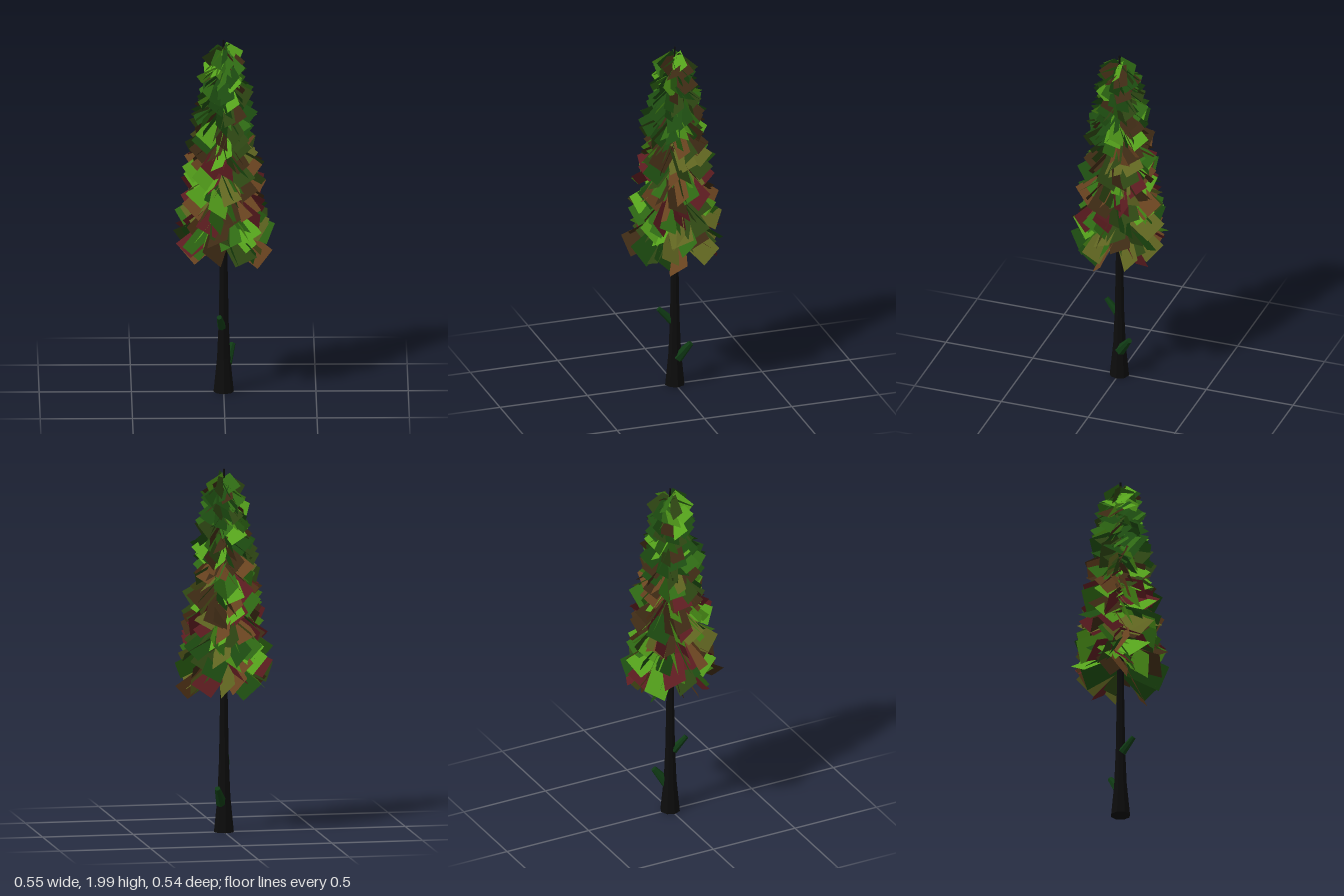
import * as THREE from 'three';
import { mergeGeometries } from 'three/addons/utils/BufferGeometryUtils.js';

const PALETTE = [0x2f6a14, 0x56a41c, 0x5f6420, 0x3d2a14, 0x5c1c20, 0x6a4420, 0x1c4a10, 0x2c4412];
const UPPER_PALETTE = [0, 6, 7, 3, 6, 1];

// Small seeded generator so the foliage is always the same
function seeded(seed) {
  let s = seed;
  return () => {
    s = (s * 16807) % 2147483647;
    return s / 2147483647;
  };
}

function mesh(name, geometry, color, options = {}) {
  const m = new THREE.Mesh(geometry, new THREE.MeshStandardMaterial({ color, ...options }));
  m.name = name;
  return m;
}

// Tapered stub between two points
function stub(name, from, to, r0, r1, color) {
  const a = new THREE.Vector3(...from);
  const d = new THREE.Vector3(...to).sub(a);
  const geo = new THREE.CylinderGeometry(r1, r0, d.length(), 7);
  geo.translate(0, d.length() / 2, 0);
  const m = mesh(name, geo, color, { flatShading: true });
  m.position.copy(a);
  m.quaternion.setFromUnitVectors(new THREE.Vector3(0, 1, 0), d.normalize());
  return m;
}

// One rectangular leaf card: grows out from the axis, droops and rolls
function leafCard(y, angle, length, width, droop, roll) {
  const geo = new THREE.PlaneGeometry(length, width);
  geo.rotateX(-Math.PI / 2);
  geo.translate(length / 2, 0, 0);
  const turn = new THREE.Matrix4().makeRotationFromEuler(new THREE.Euler(roll, angle, -droop, 'YZX'));
  geo.applyMatrix4(turn);
  geo.translate(0, y, 0);
  return geo;
}

export function createModel() {
  const tree = new THREE.Group();
  tree.name = 'tree';

  // Trunk with a flared foot, tapering to the tip
  const profile = [[0, 0], [0.055, 0], [0.036, 0.19], [0.027, 0.4], [0.02, 0.8], [0.014, 1.4], [0.005, 1.99], [0, 1.99]]
    .map(([r, y]) => new THREE.Vector2(r, y));
  tree.add(mesh('trunk', new THREE.LatheGeometry(profile, 8), 0x0c0c0c, { flatShading: true }));

  // Two broken branch stubs
  tree.add(stub('lowerBranchStub', [0.015, 0.16, -0.01], [0.05, 0.25, -0.075], 0.032, 0.016, 0x0f3a14));
  tree.add(stub('upperBranchStub', [-0.01, 0.37, 0.012], [-0.025, 0.445, 0.085], 0.024, 0.014, 0x0f3a14));

  // Foliage: spiral of leaf cards, long at the bottom and short at the top
  const rand = seeded(4711);
  const byColor = PALETTE.map(() => []);
  const count = 270;
  for (let i = 0; i < count; i++) {
    const t = i / (count - 1);
    const y = 0.93 + 1.02 * t;
    const angle = i * 2.39996 + (rand() - 0.5) * 0.5;
    const size = 0.9 + 0.2 * rand();
    const length = (0.275 - 0.1 * t - 0.06 * t * t) * size;
    const width = (0.135 - 0.05 * t) * (0.9 + 0.2 * rand());
    const droop = 0.42 + 0.3 * rand();
    const roll = (rand() < 0.5 ? -1 : 1) * (0.5 + 0.7 * rand());
    const pick = rand();
    const color = t > 0.6
      ? UPPER_PALETTE[Math.floor(pick * UPPER_PALETTE.length)]
      : Math.floor(pick * PALETTE.length);
    byColor[color].push(leafCard(y, angle, length, width, droop, roll));
  }
  const foliage = new THREE.Group();
  foliage.name = 'foliage';
  byColor.forEach((cards, i) => {
    foliage.add(mesh(`leaves${i + 1}`, mergeGeometries(cards), PALETTE[i], { side: THREE.DoubleSide }));
  });
  tree.add(foliage);
  return tree;
}
